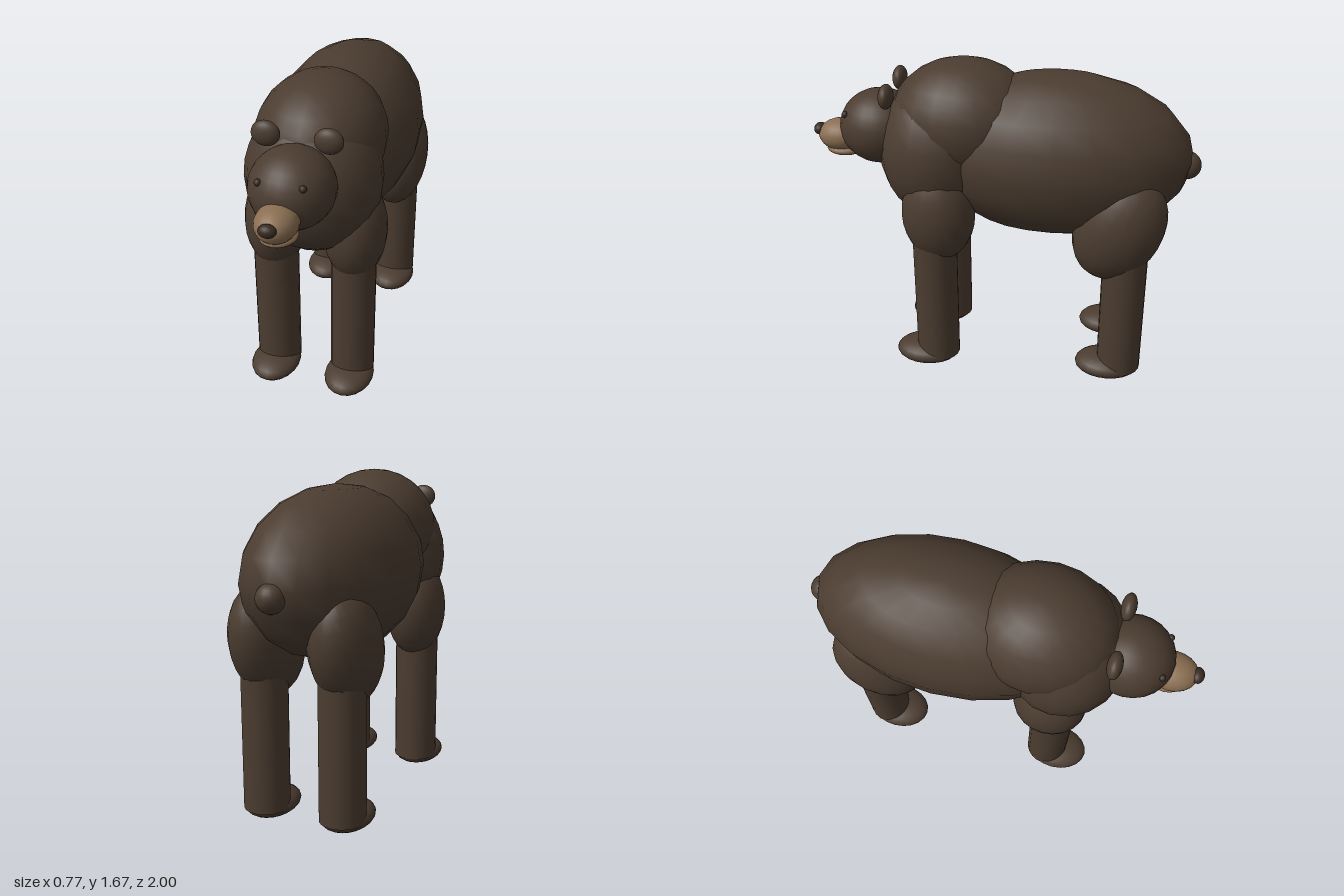
import * as THREE from 'three';

const mat = (name, color) => {
  const m = new THREE.MeshStandardMaterial({ color });
  m.name = name;
  return m;
};

export function createModel() {
  const bear = new THREE.Group();
  bear.name = 'bear';

  const fur = mat('brownFur', 0x4b3c30);
  const muzzleFur = mat('tanMuzzle', 0x8a6e52);
  const dark = mat('darkNose', 0x382b22);
  const eyeMat = mat('darkEye', 0x3a2e25);

  // Ellipsoid with centre [x, y, z] and radii [rx, ry, rz]
  const blob = (name, material, centre, radii, tilt = 0, w = 20, h = 14) => {
    const mesh = new THREE.Mesh(new THREE.SphereGeometry(1, w, h), material);
    mesh.name = name;
    mesh.position.set(...centre);
    mesh.scale.set(...radii);
    mesh.rotation.x = tilt;
    bear.add(mesh);
    return mesh;
  };

  // Body
  blob('torso', fur, [0, 1.195, -0.27], [0.385, 0.425, 0.69], 0, 20, 10);
  blob('chest', fur, [0, 1.2, 0.33], [0.34, 0.385, 0.315]);
  blob('shoulderHump', fur, [0, 1.36, 0.2], [0.32, 0.31, 0.38]);
  blob('tail', fur, [0, 1.165, -0.93], [0.07, 0.07, 0.07]);

  // Head
  blob('head', fur, [0, 1.297, 0.64], [0.203, 0.193, 0.21], 0, 24, 16);
  blob('muzzle', muzzleFur, [0, 1.235, 0.85], [0.1, 0.085, 0.125]);
  blob('lowerJaw', muzzleFur, [0, 1.165, 0.835], [0.09, 0.034, 0.1]);
  blob('nose', dark, [0, 1.26, 0.968], [0.042, 0.031, 0.032]);

  // Upper limb, straight lower limb and paw
  const leg = (prefix, x, z) => {
    const shin = new THREE.Mesh(new THREE.CylinderGeometry(0.115, 0.115, 0.79, 20), fur);
    shin.name = prefix + 'LowerLeg';
    shin.position.set(x, 0.455, z);
    bear.add(shin);
    blob(prefix + 'Paw', fur, [x, 0.066, z + 0.06], [0.128, 0.064, 0.172]);
  };

  for (const [side, s] of [['left', 1], ['right', -1]]) {
    blob(side + 'Ear', fur, [s * 0.148, 1.507, 0.565], [0.069, 0.062, 0.037]);
    blob(side + 'Eye', eyeMat, [s * 0.103, 1.384, 0.795], [0.017, 0.017, 0.017], 0, 12, 8);
    blob(side + 'Shoulder', fur, [s * 0.205, 0.92, 0.31], [0.158, 0.27, 0.19]);
    blob(side + 'Thigh', fur, [s * 0.208, 0.897, -0.61], [0.168, 0.3, 0.222], -0.4);
    leg(side + 'Front', s * 0.205, 0.335);
    leg(side + 'Hind', s * 0.205, -0.65);
  }

  return bear;
}
